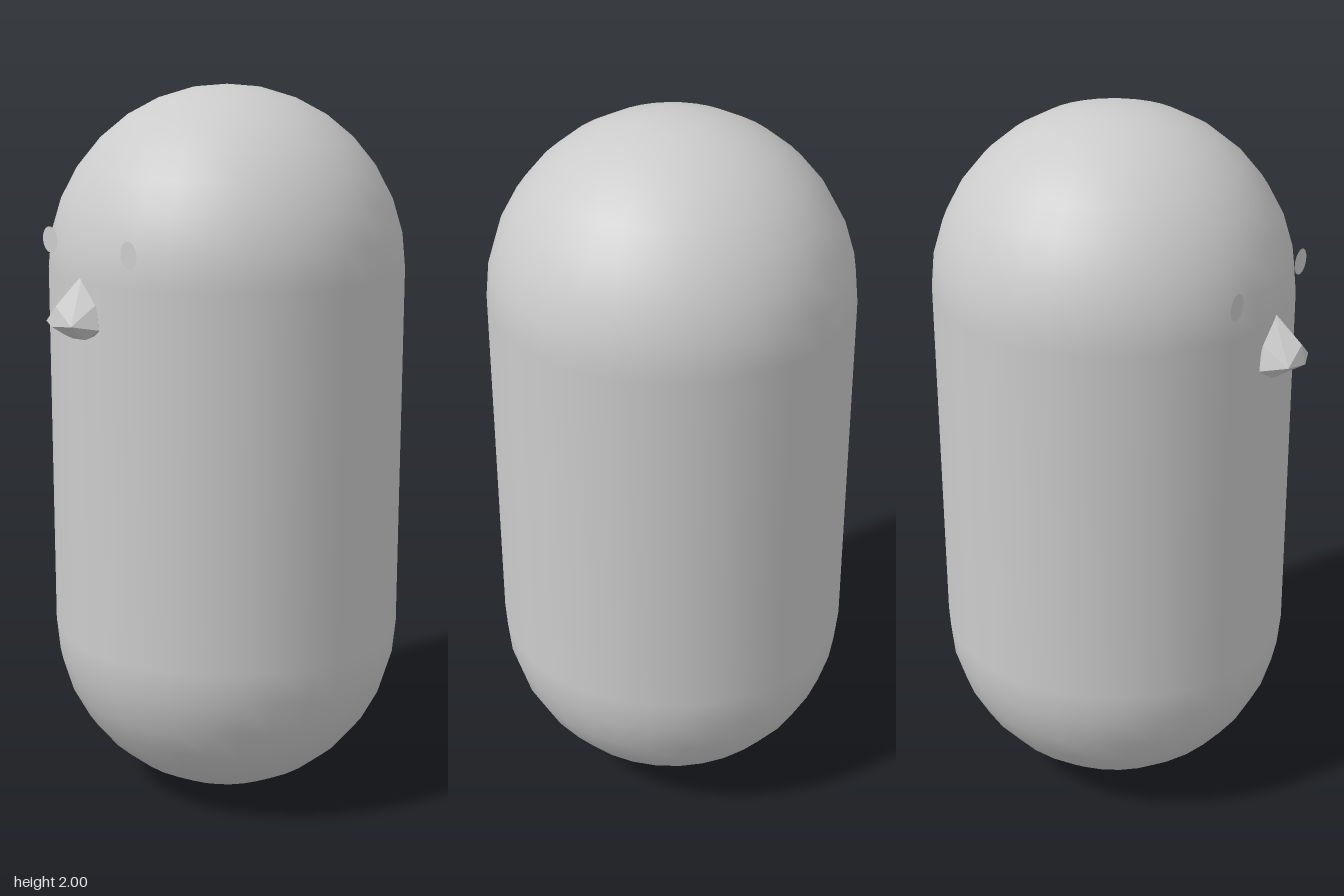
import * as THREE from 'three';
import { ConvexGeometry } from 'three/addons/geometries/ConvexGeometry.js';

export function createModel() {
  const group = new THREE.Group();
  const grey = new THREE.MeshStandardMaterial({ color: 0xcccccc });
  const faceted = new THREE.MeshStandardMaterial({ color: 0xcccccc, flatShading: true });
  const thin = new THREE.MeshStandardMaterial({ color: 0xcccccc, side: THREE.DoubleSide });

  const add = (name, geometry, material, x = 0, y = 0, z = 0) => {
    const mesh = new THREE.Mesh(geometry, material);
    mesh.name = name;
    mesh.position.set(x, y, z);
    group.add(mesh);
    return mesh;
  };

  // Smooth capsule body, set slightly back to leave room for the beak
  add('body', new THREE.CapsuleGeometry(0.49, 1.02, 8, 32), grey, 0, 1, -0.04);

  // Flat round eyes facing forward
  const eye = new THREE.CircleGeometry(0.035, 32);
  add('leftEye', eye, thin, 0.185, 1.6, 0.424);
  add('rightEye', eye, thin, -0.175, 1.6, 0.424);

  // Faceted beak: centre ridge points, then corners mirrored across x
  const points = [
    [0, 1.53, 0.44], [0, 1.455, 0.525], [0, 1.402, 0.537], [0, 1.365, 0.475],
  ].map((p) => new THREE.Vector3(...p));
  for (const side of [-1, 1]) {
    for (const [x, y, z] of [
      [0.058, 1.408, 0.517], [0.085, 1.395, 0.45], [0.05, 1.367, 0.468],
      [0.063, 1.46, 0.44], [0.06, 1.38, 0.43],
    ]) points.push(new THREE.Vector3(side * x, y, z));
  }
  add('beak', new ConvexGeometry(points), faceted);

  return group;
}
